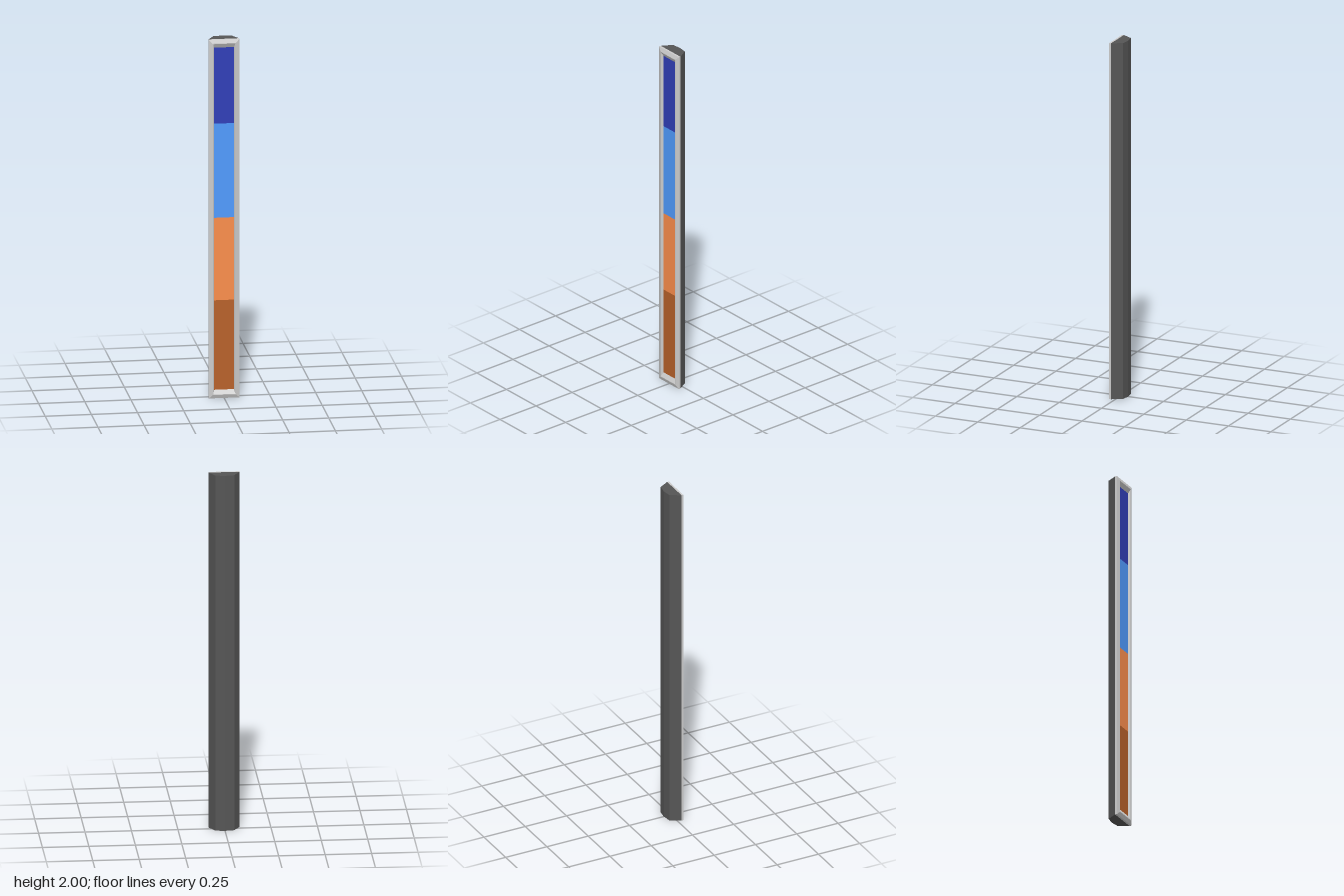
import * as THREE from 'three';

const H = 2, HALF_W = 0.083;

const material = (color) => new THREE.MeshStandardMaterial({ color, flatShading: true });

// Rectangular frame swept through steps of [insetX, insetY, z], outer back to inner front
function frameGeometry(steps) {
  const loops = steps.map(([ix, iy, z]) => {
    const x = HALF_W - ix, lo = iy, hi = H - iy;
    return [[x, lo, z], [x, hi, z], [-x, hi, z], [-x, lo, z]];
  });
  const pos = [];
  for (let j = 0; j < loops.length - 1; j++) {
    for (let i = 0; i < 4; i++) {
      const k = (i + 1) % 4;
      const a = loops[j][i], b = loops[j][k], c = loops[j + 1][k], d = loops[j + 1][i];
      pos.push(...a, ...b, ...c, ...a, ...c, ...d);
    }
  }
  const geo = new THREE.BufferGeometry();
  geo.setAttribute('position', new THREE.Float32BufferAttribute(pos, 3));
  geo.computeVertexNormals();
  return geo;
}

export function createModel() {
  const model = new THREE.Group();
  const add = (name, geometry, color) => {
    const mesh = new THREE.Mesh(geometry, material(color));
    mesh.name = name;
    model.add(mesh);
    return mesh;
  };

  // Dark housing: tapered section with a shallow ridge down the back
  const section = new THREE.Shape([
    [-HALF_W, -0.022], [HALF_W, -0.022], [0.05, 0.035], [0, 0.042], [-0.05, 0.035],
  ].map(([x, y]) => new THREE.Vector2(x, y)));
  const housing = new THREE.ExtrudeGeometry(section, { depth: H, bevelEnabled: false });
  housing.rotateX(-Math.PI / 2);
  add('housing', housing, 0x555555);

  // Bevelled front rim with a sloping recess
  add('rim', frameGeometry([
    [0, 0, 0.022],
    [0, 0, 0.033],
    [0.02, 0.02, 0.041],
    [0.023, 0.023, 0.041],
    [0.03, 0.046, 0.028],
  ]), 0xcccccc);

  // Four coloured panels, bottom to top
  const panels = [
    ['brownPanel', 0.046, 0.545, 0xb7612a],
    ['orangePanel', 0.545, 1.005, 0xfb8e4c],
    ['lightBluePanel', 1.005, 1.53, 0x509bfe],
    ['darkBluePanel', 1.53, 1.954, 0x303eb7],
  ];
  for (const [name, lo, hi, color] of panels) {
    const panel = add(name, new THREE.PlaneGeometry(0.106, hi - lo), color);
    panel.position.set(0, (lo + hi) / 2, 0.028);
  }

  return model;
}
